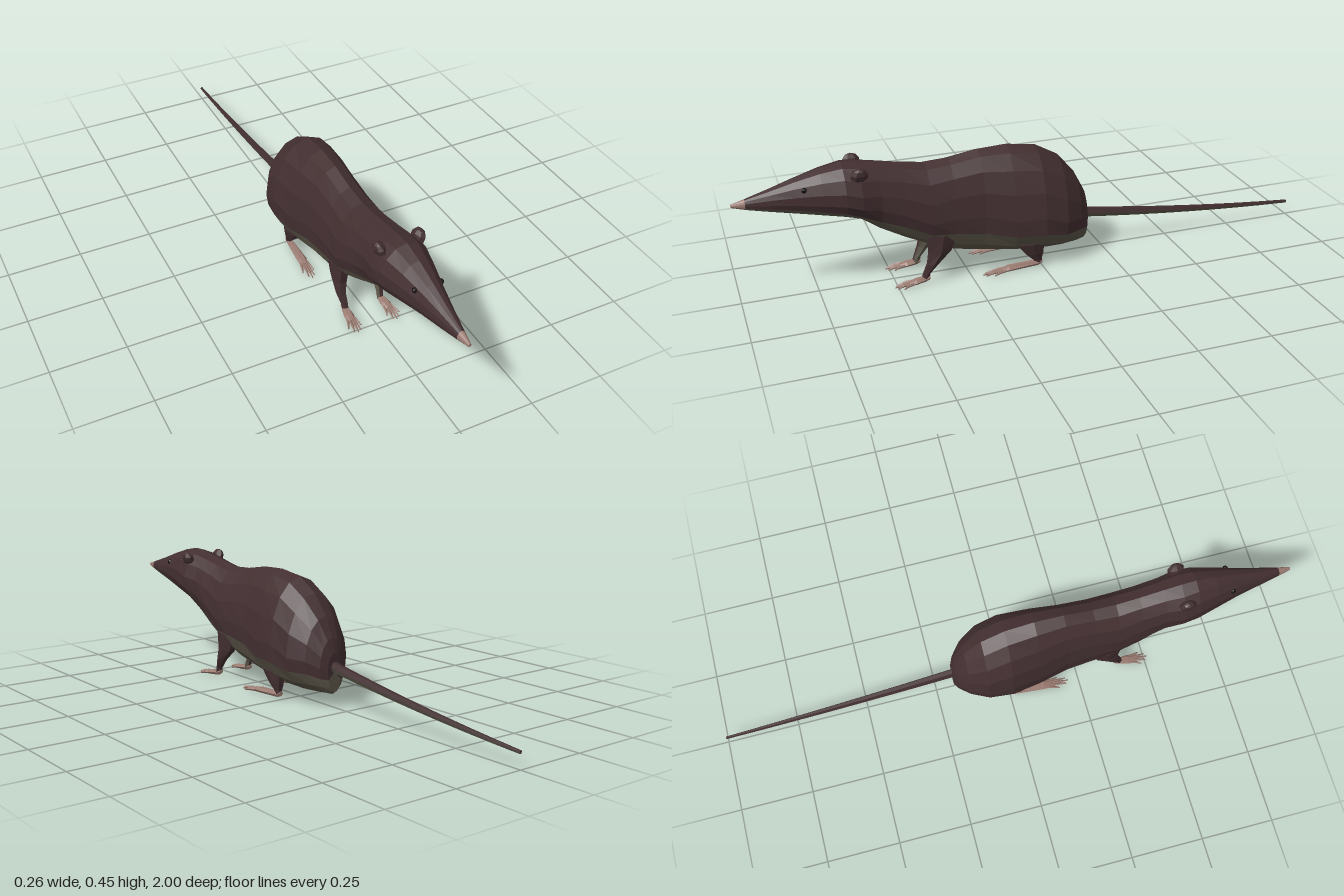
import * as THREE from 'three';

const mat = (name, color, extra = {}) => {
  const m = new THREE.MeshStandardMaterial({ color, flatShading: true, ...extra });
  m.name = name;
  return m;
};

// Joins rings of points (counter-clockwise seen from the first ring) into a capped, grouped skin
function loft(name, rings, mats, pick = () => 0) {
  const buckets = mats.map(() => []);
  const n = rings[0].length;
  const centre = ring => ring.reduce((s, p) => s.add(p), new THREE.Vector3()).divideScalar(n);
  const put = (k, ...pts) => pts.forEach(p => buckets[k].push(p.x, p.y, p.z));
  const last = rings.length - 1, c0 = centre(rings[0]), c1 = centre(rings[last]);
  for (let i = 0; i < n; i++) {
    const j = (i + 1) % n;
    for (let r = 0; r < last; r++) {
      const a = rings[r][i], b = rings[r][j], c = rings[r + 1][i], d = rings[r + 1][j];
      put(pick(i, r), a, c, b, b, c, d);
    }
    put(pick(i, 0), c0, rings[0][i], rings[0][j]);
    put(pick(i, last - 1), c1, rings[last][j], rings[last][i]);
  }
  const geo = new THREE.BufferGeometry();
  geo.setAttribute('position', new THREE.Float32BufferAttribute(buckets.flat(), 3));
  let start = 0;
  buckets.forEach((b, k) => {
    if (b.length) geo.addGroup(start, b.length / 3, k);
    start += b.length / 3;
  });
  geo.computeVertexNormals();
  const mesh = new THREE.Mesh(geo, mats);
  mesh.name = name;
  return mesh;
}

// Elliptical rings [x, y, z, rx, rt], running down from +y (upright) or back from +z
const ovals = (sections, sides, upright) => sections.map(([x, y, z, rx, rt]) =>
  Array.from({ length: sides }, (_, i) => {
    const a = i / sides * Math.PI * 2, u = Math.cos(a) * rx, v = Math.sin(a) * rt;
    return upright ? new THREE.Vector3(x + u, y, z - v) : new THREE.Vector3(x + u, y + v, z);
  }));

// Body sections: z, top, bottom, half width, height of widest point, fur border
const BODY = [
  [0.998, 0.354, 0.344, 0.005, 0.349, 0.347],
  [0.955, 0.366, 0.331, 0.014, 0.347, 0.341],
  [0.88, 0.388, 0.314, 0.030, 0.345, 0.332],
  [0.80, 0.414, 0.297, 0.047, 0.345, 0.320],
  [0.72, 0.437, 0.280, 0.068, 0.343, 0.308],
  [0.65, 0.450, 0.265, 0.086, 0.340, 0.296],
  [0.60, 0.446, 0.250, 0.090, 0.335, 0.275],
  [0.54, 0.436, 0.205, 0.082, 0.320, 0.248],
  [0.46, 0.421, 0.160, 0.087, 0.270, 0.222],
  [0.38, 0.410, 0.122, 0.093, 0.230, 0.182],
  [0.30, 0.414, 0.089, 0.094, 0.210, 0.178],
  [0.20, 0.431, 0.070, 0.098, 0.190, 0.165],
  [0.10, 0.435, 0.057, 0.116, 0.170, 0.140],
  [0.00, 0.420, 0.049, 0.130, 0.165, 0.140],
  [-0.08, 0.375, 0.046, 0.120, 0.160, 0.122],
  [-0.14, 0.305, 0.046, 0.088, 0.155, 0.120],
  [-0.175, 0.238, 0.048, 0.052, 0.140, 0.105],
  [-0.187, 0.190, 0.055, 0.028, 0.130, 0.100],
];
const LOW = 3, HIGH = 5, HALF = LOW + HIGH;

function bodyRing([z, top, bottom, w, wide, border]) {
  const belt = Math.asin((border - wide) / (wide - bottom));
  const point = (k, side) => {
    const a = k <= LOW
      ? THREE.MathUtils.lerp(-Math.PI / 2, belt, k / LOW)
      : THREE.MathUtils.lerp(belt, Math.PI / 2, (k - LOW) / HIGH);
    const h = a > 0 ? top - wide : wide - bottom;
    return new THREE.Vector3(side * w * Math.cos(a), wide + h * Math.sin(a), z);
  };
  return Array.from({ length: HALF * 2 }, (_, i) => i <= HALF ? point(i, 1) : point(HALF * 2 - i, -1));
}

export function createModel() {
  const fur = mat('dark fur', 0x432f31);
  const belly = mat('belly fur', 0x5b5548);
  const skin = mat('pink skin', 0x9a7b71);
  const eyeBlack = mat('eye black', 0x120d0e);
  const model = new THREE.Group();
  model.name = 'shrew';

  // Body and head in one skin, with pale underside and pink nose tip
  model.add(loft('body', BODY.map(bodyRing), [fur, belly, skin], (i, r) =>
    r === 0 ? 2 : i < LOW || i >= HALF * 2 - LOW ? 1 : 0));

  // Tail, dark above and pale below
  const tail = [];
  for (let k = 0; k <= 8; k++) {
    const t = k / 8, rad = 0.019 - 0.013 * t;
    tail.push([0, 0.145 - 0.125 * t + 0.035 * t * t, -0.165 - 0.833 * t, rad * 0.8, rad]);
  }
  model.add(loft('tail', ovals(tail, 6, false), [fur, belly], i => i < 3 ? 0 : 1));

  for (const s of [1, -1]) {
    const side = s > 0 ? 'left' : 'right';
    const flip = list => list.map(([x, ...rest]) => [x * s, ...rest]);
    // Outer half of a leg is dark, inner half pale
    const outer = i => (Math.cos((i + 0.5) / 6 * Math.PI * 2) * s > -0.1 ? 0 : 1);

    // Front leg
    model.add(loft(side + 'FrontLeg', ovals(flip([
      [0.062, 0.175, 0.345, 0.026, 0.060],
      [0.064, 0.115, 0.355, 0.023, 0.042],
      [0.068, 0.075, 0.380, 0.017, 0.022],
      [0.065, 0.040, 0.402, 0.012, 0.013],
      [0.064, 0.016, 0.410, 0.011, 0.013],
    ]), 6, true), [fur, belly], outer));

    // Hind leg
    model.add(loft(side + 'HindLeg', ovals(flip([
      [0.078, 0.100, 0.045, 0.030, 0.055],
      [0.080, 0.058, 0.030, 0.020, 0.034],
      [0.080, 0.035, 0.020, 0.012, 0.018],
      [0.080, 0.020, 0.014, 0.010, 0.013],
    ]), 6, true), [fur, belly], outer));

    // Feet: palm plus splayed toes
    const foot = (name, x, back, knuckle, tip, spread) => {
      const group = new THREE.Group();
      group.name = side + name;
      group.add(loft('palm', ovals(flip([
        [x + 0.004, 0.013, knuckle + 0.012, 0.014, 0.006],
        [x + 0.002, 0.016, knuckle - 0.012, 0.017, 0.010],
        [x, 0.020, back + 0.015, 0.011, 0.011],
        [x, 0.024, back, 0.008, 0.008],
      ]), 6, false), [skin]));
      for (let k = -2; k <= 2; k++) {
        const len = (tip - knuckle) * (1 - 0.11 * k * k);
        group.add(loft('toe', ovals(flip([
          [x + 0.005 + k * spread, 0.007, knuckle + len, 0.002, 0.003],
          [x + 0.004 + k * spread * 0.75, 0.012, knuckle + len * 0.6, 0.004, 0.005],
          [x + 0.002 + k * 0.005, 0.014, knuckle - 0.006, 0.005, 0.006],
        ]), 4, false), [skin]));
      }
      model.add(group);
    };
    foot('FrontFoot', 0.065, 0.392, 0.452, 0.512, 0.011);
    foot('HindFoot', 0.080, 0.002, 0.135, 0.213, 0.010);

    // Ear: small rounded flap
    const ear = new THREE.Mesh(new THREE.SphereGeometry(1, 7, 5), fur);
    ear.name = side + 'Ear';
    ear.scale.set(0.018, 0.026, 0.030);
    ear.position.set(s * 0.066, 0.420, 0.605);
    ear.rotation.z = -s * 0.35;
    model.add(ear);

    // Eye
    const eye = new THREE.Mesh(new THREE.SphereGeometry(0.009, 7, 5), eyeBlack);
    eye.name = side + 'Eye';
    eye.position.set(s * 0.043, 0.386, 0.775);
    model.add(eye);
  }
  return model;
}
